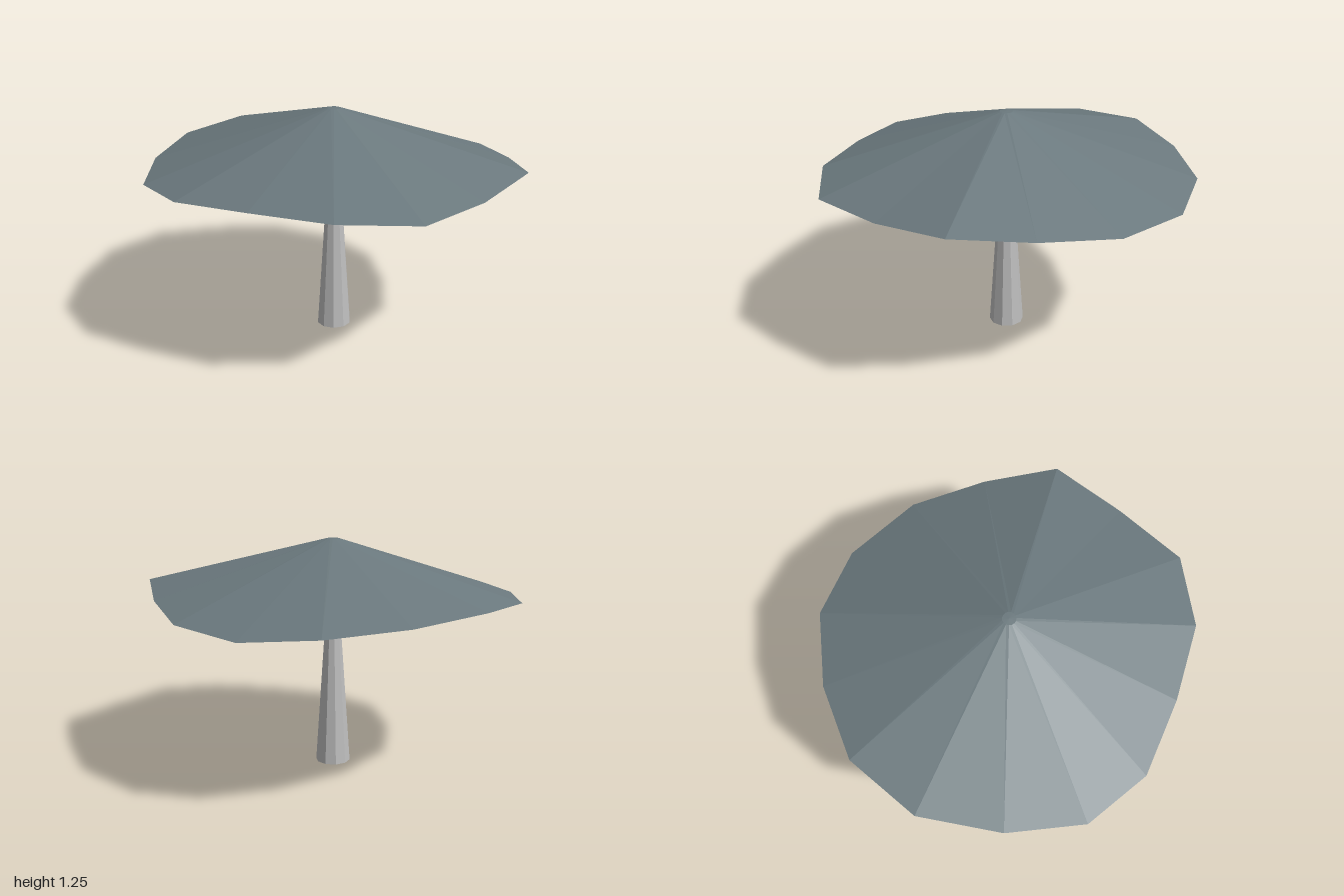
import * as THREE from 'three';

// Flat-shaded surface through a stack of closed rings (each listed counterclockwise from above, top ring first)
function loft(rings) {
  const pos = [];
  const tri = (a, b, c) => pos.push(...a, ...b, ...c);
  for (let k = 0; k + 1 < rings.length; k++) {
    const up = rings[k], low = rings[k + 1], n = up.length;
    for (let i = 0; i < n; i++) {
      const j = (i + 1) % n;
      tri(up[i], low[i], low[j]);
      tri(up[i], low[j], up[j]);
    }
  }
  const geo = new THREE.BufferGeometry();
  geo.setAttribute('position', new THREE.Float32BufferAttribute(pos, 3));
  geo.computeVertexNormals();
  return geo;
}

export function createModel() {
  const group = new THREE.Group();
  const capMat = new THREE.MeshStandardMaterial({ color: 0x6b797e, flatShading: true });
  capMat.name = 'slate cap';
  const stemMat = new THREE.MeshStandardMaterial({ color: 0xbebebe, flatShading: true });
  stemMat.name = 'pale stem';
  const skirtMat = new THREE.MeshStandardMaterial({ color: 0x585858, flatShading: true, side: THREE.DoubleSide });
  skirtMat.name = 'dark skirt';

  const add = (name, geo, mat) => {
    const mesh = new THREE.Mesh(geo, mat);
    mesh.name = name;
    group.add(mesh);
    return mesh;
  };

  // Cap: uneven wavy rim, rising to a tiny flat tip
  const rim = [
    [0, 0.99, -1], [-0.41, 0.965, -0.92], [-0.74, 0.94, -0.64], [-0.96, 0.925, -0.3],
    [-0.965, 0.945, 0.07], [-0.78, 0.965, 0.44], [-0.55, 0.97, 0.79], [-0.21, 0.955, 1],
    [0.2, 0.96, 0.94], [0.6, 1.0, 0.83], [0.81, 0.955, 0.49], [0.965, 0.915, 0.11],
    [0.945, 0.9, -0.32], [0.75, 0.935, -0.66], [0.4, 0.96, -0.88],
  ];
  const tip = rim.map(([x, , z]) => {
    const s = 0.035 / Math.hypot(x, z);
    return [x * s, 1.245, z * s];
  });
  const point = (y) => rim.map(() => [0, y, 0]);
  add('cap', loft([point(1.247), tip, rim]), capMat);
  add('capUnderside', loft([rim, point(0.955)]), capMat);

  // Stem: tapered, ten sided
  const stem = add('stem', new THREE.CylinderGeometry(0.03, 0.095, 0.97, 10), stemMat);
  stem.position.y = 0.485;

  // Skirt: flared ring with six pointed flaps
  const ring = (rPoint, yPoint, rNotch, yNotch) => Array.from({ length: 12 }, (_, i) => {
    const a = (i * Math.PI) / 6;
    const r = i % 2 ? rNotch : rPoint;
    return [Math.sin(a) * r, i % 2 ? yNotch : yPoint, Math.cos(a) * r];
  });
  add('skirt', loft([ring(0.088, 0.97, 0.075, 0.97), ring(0.148, 0.768, 0.088, 0.845)]), skirtMat);

  return group;
}
